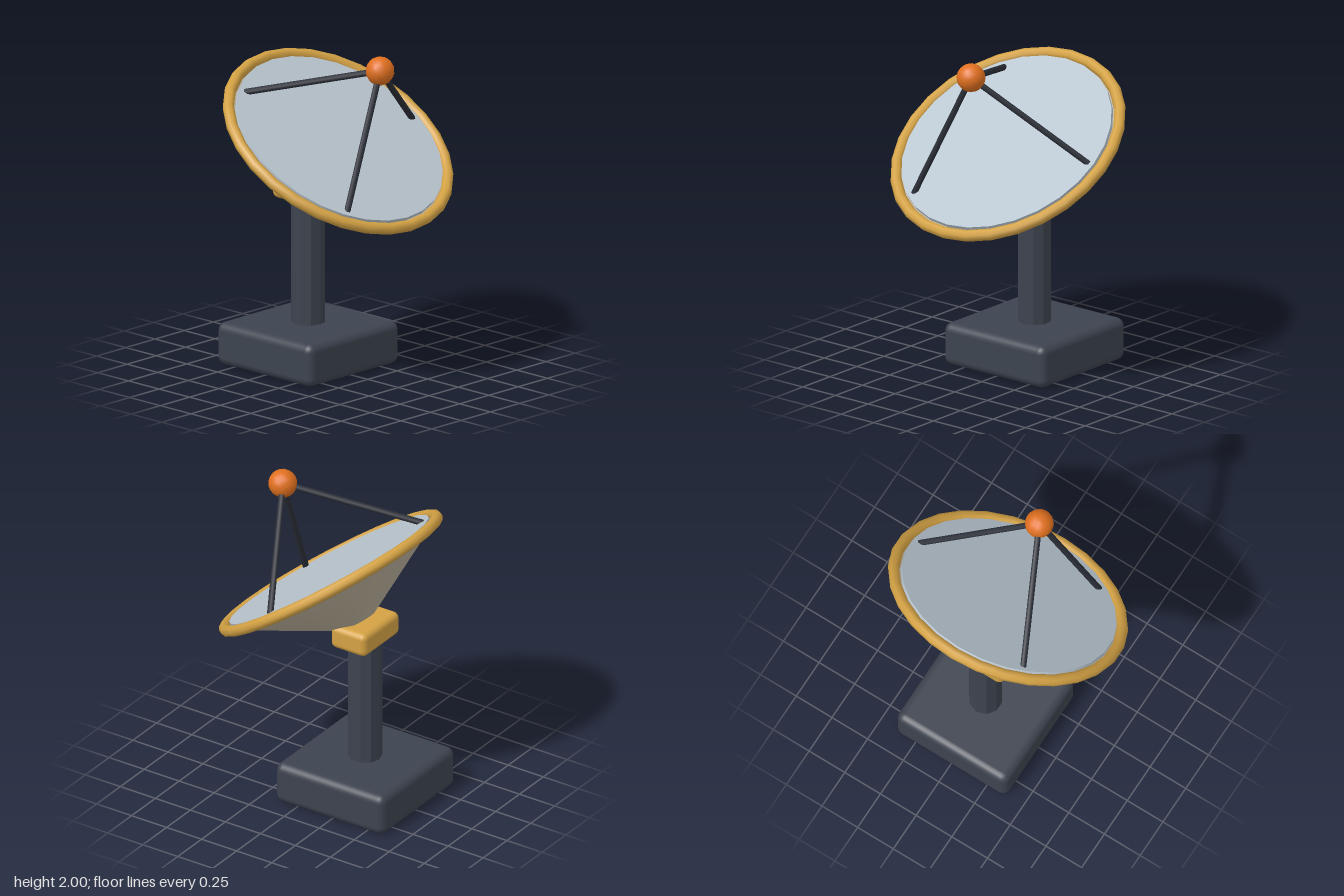
import * as THREE from 'three';
import { RoundedBoxGeometry } from 'three/addons/geometries/RoundedBoxGeometry.js';

const paint = (name, color) => {
  const m = new THREE.MeshStandardMaterial({ color });
  m.name = name;
  return m;
};

// Facet a geometry so that every side reads as flat
const faceted = (geometry) => {
  const g = geometry.toNonIndexed();
  g.computeVertexNormals();
  return g;
};

export function createModel() {
  const slate = paint('slate', 0x3d434f);
  const charcoal = paint('charcoal', 0x2b2f38);
  const gold = paint('gold', 0xd4a244);
  const stone = paint('stone', 0xb8ad98);
  const paleBlue = paint('paleBlue', 0xb8c4ce);
  const orange = paint('orange', 0xe0701f);

  const model = new THREE.Group();
  model.name = 'dishAntenna';
  const add = (parent, name, geometry, material, x = 0, y = 0, z = 0) => {
    const mesh = new THREE.Mesh(geometry, material);
    mesh.name = name;
    mesh.position.set(x, y, z);
    parent.add(mesh);
    return mesh;
  };

  // Stand: rounded base, ten-sided mast and mounting block
  const standZ = -0.238;
  add(model, 'base', new RoundedBoxGeometry(0.776, 0.26, 0.776, 3, 0.05), slate, 0, 0.13, standZ);
  add(model, 'mast', faceted(new THREE.CylinderGeometry(0.101, 0.101, 0.85, 10)), slate, 0, 0.665, standZ);
  add(model, 'mountBlock', new RoundedBoxGeometry(0.38, 0.15, 0.252, 3, 0.038), gold, 0, 1.11, standZ);

  // Dish assembly, tilted so that its local y axis points up and forward
  const dish = new THREE.Group();
  dish.name = 'dish';
  dish.position.set(0, 1.415, 0.007);
  dish.rotation.x = 0.6;
  model.add(dish);

  const depth = 0.325;
  add(dish, 'dishShell', new THREE.CylinderGeometry(0.7, 0.124, depth, 28), stone, 0, -depth / 2, 0);
  add(dish, 'dishFace', new THREE.CylinderGeometry(0.667, 0.667, 0.03, 28), paleBlue, 0, 0.01, 0);
  add(dish, 'rim', new THREE.TorusGeometry(0.71, 0.035, 8, 28).rotateX(Math.PI / 2), gold);

  // Receiver held on the dish axis by three struts
  const focus = new THREE.Vector3(0, 0.607, 0);
  add(dish, 'receiver', new THREE.SphereGeometry(0.086, 14, 10), orange, ...focus.toArray());
  for (const angle of [0, 2.2, -2.2]) {
    const foot = new THREE.Vector3(0.625 * Math.cos(angle), 0.015, 0.625 * Math.sin(angle));
    const span = focus.clone().sub(foot);
    const middle = foot.clone().add(focus).multiplyScalar(0.5);
    const strut = add(dish, 'strut', new THREE.CylinderGeometry(0.019, 0.019, span.length(), 8), charcoal, ...middle.toArray());
    strut.quaternion.setFromUnitVectors(new THREE.Vector3(0, 1, 0), span.normalize());
  }

  return model;
}
